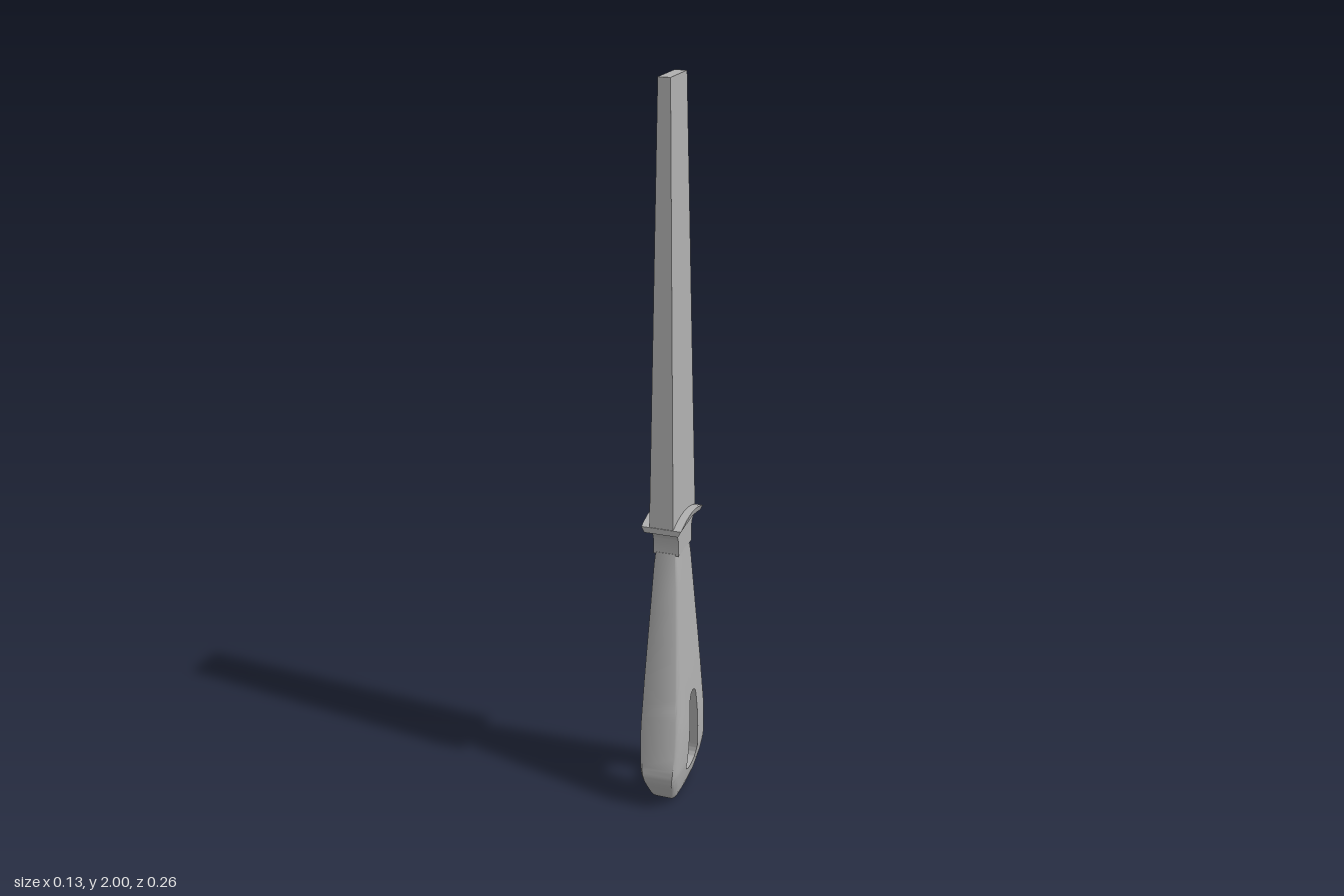
import * as THREE from 'three';
import { toCreasedNormals } from 'three/addons/utils/BufferGeometryUtils.js';

// Piecewise linear lookup in [[key, value], ...]
function lookup(table, k) {
  if (k <= table[0][0]) return table[0][1];
  for (let i = 1; i < table.length; i++) {
    const [a, va] = table[i - 1], [b, vb] = table[i];
    if (k <= b) return va + (vb - va) * (k - a) / Math.max(b - a, 1e-6);
  }
  return table[table.length - 1][1];
}

// Half outline of the handle paired with half outline of its hole: [z, y, holeZ, holeY]
const OUTLINE = [
  [0, 0, 0, 0.078], [0.05, 0.002, 0.02, 0.08], [0.08, 0.012, 0.033, 0.087],
  [0.095, 0.03, 0.04, 0.097], [0.125, 0.085, 0.043, 0.11], [0.13, 0.105, 0.043, 0.12],
  [0.128, 0.135, 0.042, 0.135], [0.115, 0.25, 0.034, 0.22], [0.103, 0.35, 0.026, 0.3],
  [0.085, 0.505, 0.022, 0.315], [0.055, 0.765, 0.012, 0.325], [0, 0.765, 0, 0.328],
];
const WIDTH = OUTLINE.slice(1, -1).map(([z, y]) => [y, z]);
const THICKNESS = [[0, 0.027], [0.01, 0.034], [0.03, 0.041], [0.07, 0.051], [0.12, 0.06],
  [0.18, 0.063], [0.25, 0.063], [0.4, 0.056], [0.765, 0.035]];

// Slightly domed handle: rings from the hole to the outer edge, on both faces
function handleGeometry() {
  const half = [], steps = 3;
  for (let i = 0; i < OUTLINE.length - 1; i++) {
    for (let k = 0; k < steps; k++) {
      half.push(OUTLINE[i].map((v, c) => v + (OUTLINE[i + 1][c] - v) * k / steps));
    }
  }
  half.push(OUTLINE[OUTLINE.length - 1]);
  const mirrored = half.slice(1, -1).reverse().map(([z, y, hz, hy]) => [-z, y, -hz, hy]);
  const loop = [...half, ...mirrored];
  const s = [0, 0.2, 0.4, 0.6, 0.75, 0.85, 0.91, 0.96, 1];
  const across = [...s.map(v => [v, 1]), ...s.slice().reverse().map(v => [v, -1])];
  const pos = [], index = [], m = across.length, n = loop.length;
  for (const [oz, oy, hz, hy] of loop) {
    for (const [v, side] of across) {
      const z = hz + (oz - hz) * v, y = hy + (oy - hy) * v;
      const t = Math.min(1, Math.abs(z) / lookup(WIDTH, y));
      const x = lookup(THICKNESS, y) * (1 - 0.06 * t ** 2 - 0.2 * t ** 12);
      pos.push(side * x, y, z);
    }
  }
  for (let i = 0; i < n; i++) {
    for (let j = 0; j < m; j++) {
      const a = i * m + j, b = ((i + 1) % n) * m + j;
      const c = i * m + (j + 1) % m, d = ((i + 1) % n) * m + (j + 1) % m;
      index.push(a, b, c, b, d, c);
    }
  }
  const g = new THREE.BufferGeometry();
  g.setAttribute('position', new THREE.Float32BufferAttribute(pos, 3));
  g.setIndex(index);
  return toCreasedNormals(g, 0.75);
}

// Extrudes a side profile (z, y) across x, centred
function sideExtrude(shape, width) {
  const g = new THREE.ExtrudeGeometry(shape, { depth: width, bevelEnabled: false, curveSegments: 8 });
  g.translate(0, 0, -width / 2);
  g.rotateY(-Math.PI / 2);
  return g;
}

export function createModel() {
  const group = new THREE.Group();
  const metal = new THREE.MeshStandardMaterial({ color: 0xb0b0b0 });
  metal.name = 'grey metal';
  const add = (name, geometry) => {
    const mesh = new THREE.Mesh(geometry, metal);
    mesh.name = name;
    group.add(mesh);
  };

  // Blade: a box tapering in both directions
  const y0 = 0.845, y1 = 2;
  const blade = new THREE.BoxGeometry(2, 1, 2);
  const p = blade.attributes.position;
  for (let i = 0; i < p.count; i++) {
    const top = p.getY(i) > 0;
    p.setXYZ(i, p.getX(i) * (top ? 0.016 : 0.033), top ? y1 : y0, p.getZ(i) * (top ? 0.06 : 0.09));
  }
  blade.computeVertexNormals();
  add('blade', blade);

  // Neck: flares up into the guard
  const neck = new THREE.Shape();
  neck.moveTo(-0.054, 0.76);
  neck.lineTo(0.054, 0.76);
  neck.lineTo(0.054, 0.8);
  neck.quadraticCurveTo(0.056, 0.825, 0.088, 0.838);
  neck.lineTo(0.088, 0.85);
  neck.lineTo(-0.088, 0.85);
  neck.lineTo(-0.088, 0.838);
  neck.quadraticCurveTo(-0.056, 0.825, -0.054, 0.8);
  add('neck', toCreasedNormals(sideExtrude(neck, 0.07), 0.6));

  // Guard: arched plate, narrower on its underside
  const arch = new THREE.Shape();
  arch.moveTo(-0.091, 0.835);
  arch.quadraticCurveTo(0, 0.858, 0.091, 0.835);
  arch.lineTo(0.091, 0.851);
  arch.quadraticCurveTo(0, 0.887, -0.091, 0.851);
  const guard = sideExtrude(arch, 0.11);
  const q = guard.attributes.position;
  for (let i = 0; i < q.count; i++) {
    const under = q.getY(i) < 0.85 - 0.012 * (Math.abs(q.getZ(i)) / 0.091) ** 2;
    if (under) q.setX(i, q.getX(i) * 0.85);
  }
  add('guard', toCreasedNormals(guard, 0.6));

  add('handle', handleGeometry());
  return group;
}
